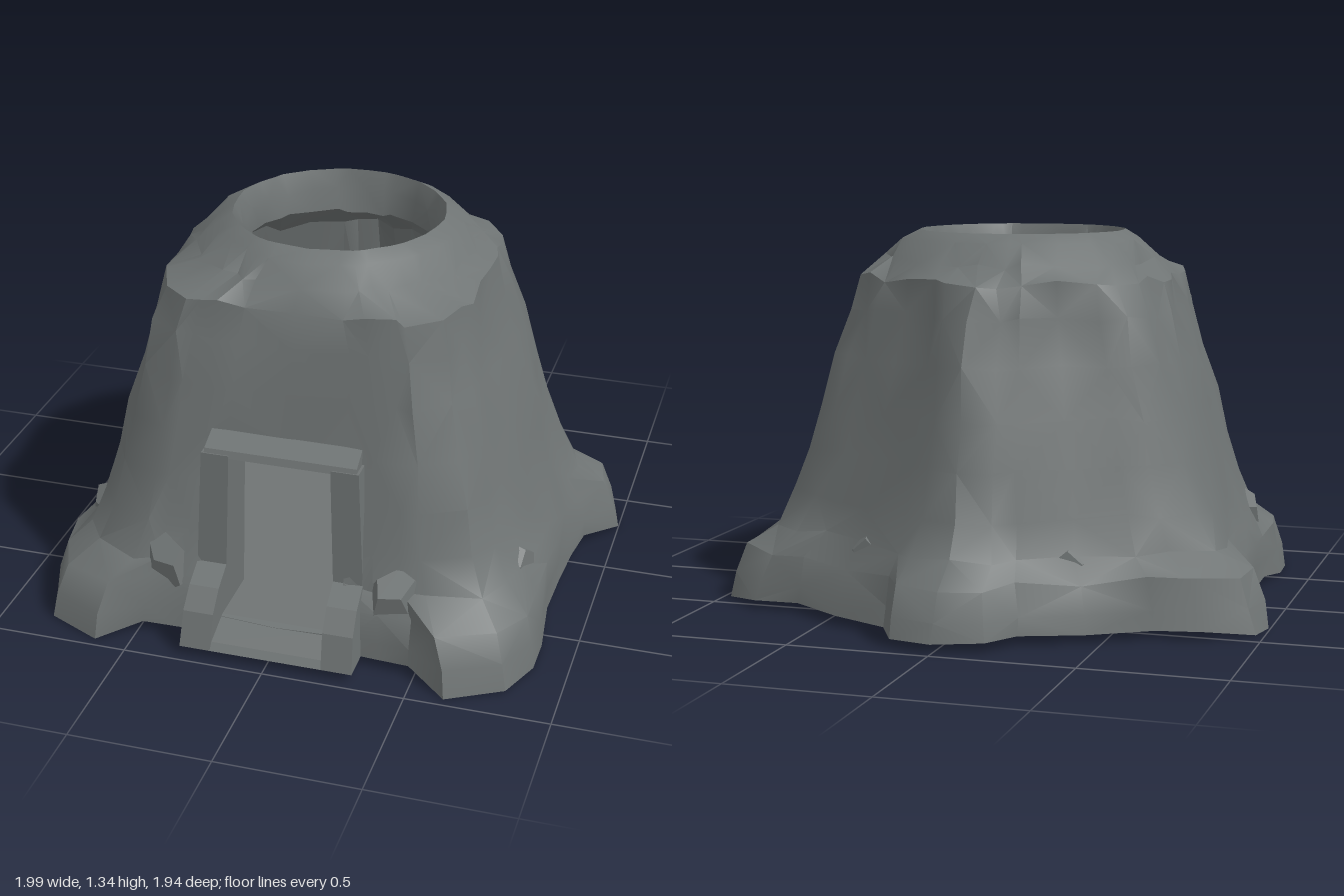
import * as THREE from 'three';
import { toCreasedNormals } from 'three/addons/utils/BufferGeometryUtils.js';

const lerp = THREE.MathUtils.lerp;

// Half outline, from front to back: angle, root radius, lower wall radius, shoulder radius
const OUTLINE = [
  [0, 0.86, 0.79, 0.60], [17, 0.89, 0.81, 0.62], [23, 0.93, 0.85, 0.65], [29, 0.99, 0.90, 0.68],
  [33, 1.15, 0.93, 0.70], [43, 1.20, 0.98, 0.70], [51, 1.13, 0.95, 0.66], [57, 1.05, 0.91, 0.63],
  [67, 0.93, 0.86, 0.58], [78, 0.88, 0.82, 0.55], [90, 0.87, 0.81, 0.55], [99, 0.91, 0.82, 0.55],
  [107, 1.04, 0.84, 0.55], [114, 1.06, 0.85, 0.55], [124, 0.98, 0.79, 0.54], [131, 0.86, 0.73, 0.52],
  [147, 0.82, 0.70, 0.49], [163, 0.82, 0.71, 0.50], [170, 0.94, 0.75, 0.52], [180, 0.975, 0.78, 0.53],
];
// Full outline by mirroring
const RING = [...OUTLINE, ...OUTLINE.slice(1, -1).reverse().map(([d, ...r]) => [360 - d, ...r])];

function seeded(seed) {
  return () => {
    seed = (seed * 16807) % 2147483647;
    return seed / 2147483647 - 0.5;
  };
}

// Wall radius of an outline column at height y
function wallRadius(col, y) {
  return lerp(col[2], col[3], THREE.MathUtils.clamp((y - 0.28) / 0.92, 0, 1));
}

function roundRim(r) {
  return (col, a) => [Math.sin(a) * r, Math.cos(a) * r + 0.06];
}
function polar(radius) {
  return (col, a) => [Math.sin(a) * radius(col), Math.cos(a) * radius(col)];
}

// Levels from the underside, up the outside, over the rim and down the inside: height, outline, roughness
function stumpLevels() {
  const wall = (y) => polar((c) => wallRadius(c, y));
  const inner = (y, thick, rough) => [y, polar((c) => wallRadius(c, y) - thick), rough];
  return [
    [0.05, polar(() => 0), 0],
    [0.02, polar((c) => c[1]), 0.01],
    [0.10, polar((c) => lerp(c[1], c[2], 0.1)), 0.01],
    [0.20, polar((c) => lerp(c[1], c[2], 0.3)), 0.025],
    [0.275, polar((c) => lerp(c[1], c[2], 0.85)), 0.03],
    [0.40, wall(0.38), 0.025],
    [0.56, wall(0.55), 0.02],
    [0.72, wall(0.70), 0.02],
    [0.90, wall(0.88), 0.025],
    [1.06, wall(1.06), 0.03],
    [1.18, wall(1.18), 0.035],
    [1.235, (c, a) => {
      const [x, z] = wall(1.2)(c, a);
      const [u, v] = roundRim(0.47)(c, a);
      return [lerp(x, u, 0.8), lerp(z, v, 0.8)];
    }, 0.035],
    [1.31, roundRim(0.43), 0.02],
    [1.34, roundRim(0.375), 0.008],
    [1.27, roundRim(0.35), 0.02],
    [1.19, roundRim(0.345), 0.02],
    inner(1.08, 0.1, 0.04), inner(0.72, 0.09, 0.04), inner(0.4, 0.09, 0.04), inner(0.10, 0.1, 0),
    [0.10, polar(() => 0), 0],
  ];
}

function stumpGeometry() {
  const rand = seeded(71);
  const levels = stumpLevels();
  const n = RING.length;
  const pos = [];
  const idx = [];
  for (const [y, outline, rough] of levels) {
    for (const col of RING) {
      const [x, z] = outline(col, THREE.MathUtils.degToRad(col[0]));
      // root tips hang slightly lower than the ground line between them
      const dip = y === 0.02 ? (Math.hypot(x, z) > 1 ? -0.012 : 0.015) : 0;
      pos.push(x + rand() * rough, y + dip + (y > 1.3 ? 0 : rand() * rough), z + rand() * rough);
    }
  }
  for (let l = 0; l < levels.length - 1; l++) {
    const low = Math.min(levels[l][0], levels[l + 1][0]);
    const high = Math.max(levels[l][0], levels[l + 1][0]);
    for (let i = 0; i < n; i++) {
      const front = i === 0 || i === n - 1;
      if (front && low >= 0.1 && high <= 0.72 && high > low) continue; // doorway
      const a = l * n + i, b = l * n + (i + 1) % n, c = b + n, d = a + n;
      if ((i + l) % 2) idx.push(a, b, c, a, c, d);
      else idx.push(a, b, d, b, c, d);
    }
  }
  const g = new THREE.BufferGeometry();
  g.setAttribute('position', new THREE.Float32BufferAttribute(pos, 3));
  g.setIndex(idx);
  return toCreasedNormals(g, 0.6);
}

// Block with a side profile in (z, y), extruded across x and narrowed towards the top
function sideBlock(profile, x0, x1, taper = 0) {
  const shape = new THREE.Shape(profile.map(([z, y]) => new THREE.Vector2(-z, y)));
  const g = new THREE.ExtrudeGeometry(shape, { depth: x1 - x0, bevelEnabled: false });
  g.translate(0, 0, x0).rotateY(Math.PI / 2);
  const p = g.attributes.position;
  for (let i = 0; i < p.count; i++) p.setX(i, p.getX(i) * (1 - taper * p.getY(i)));
  g.computeVertexNormals();
  return g;
}

export function createModel() {
  const model = new THREE.Group();
  const stone = new THREE.MeshStandardMaterial({ color: 0x6f7474 });
  stone.name = 'grey stone';
  const add = (name, geometry) => {
    const mesh = new THREE.Mesh(geometry, stone);
    mesh.name = name;
    model.add(mesh);
    return mesh;
  };

  add('hollowStump', stumpGeometry());

  // Door surround: jambs flaring out at the foot, a lintel and a sloping step
  const jamb = [[0.6, 0.04], [0.965, 0.035], [0.93, 0.16], [0.87, 0.23], [0.79, 0.28], [0.775, 0.7], [0.6, 0.7]];
  add('leftDoorJamb', sideBlock(jamb, 0.2, 0.31, 0.15));
  add('rightDoorJamb', sideBlock(jamb, -0.31, -0.2, 0.15));
  add('doorLintel', sideBlock([[0.6, 0.69], [0.775, 0.69], [0.765, 0.715], [0.69, 0.75], [0.6, 0.75]], -0.3, 0.3, 0.15));
  add('doorStep', sideBlock([[0.5, 0.035], [0.965, 0.035], [0.945, 0.06], [0.83, 0.103], [0.5, 0.103]], -0.21, 0.21));

  // Low boulders half sunk in the foot of the wall: angle, height, size
  const boulders = [[29, 0.24, 0.12], [57, 0.25, 0.1], [147, 0.22, 0.1]];
  for (const [deg, y, size] of boulders) {
    const col = OUTLINE.find((c) => c[0] === deg);
    const r = wallRadius(col, y) - size * 0.2;
    for (const s of [1, -1]) {
      const a = THREE.MathUtils.degToRad(deg) * s;
      const boulder = add('boulder', new THREE.DodecahedronGeometry(size));
      boulder.position.set(Math.sin(a) * r, y, Math.cos(a) * r);
      boulder.rotation.set(0, a, 0.4 * s);
      boulder.scale.z = 0.6;
    }
  }
  return model;
}
